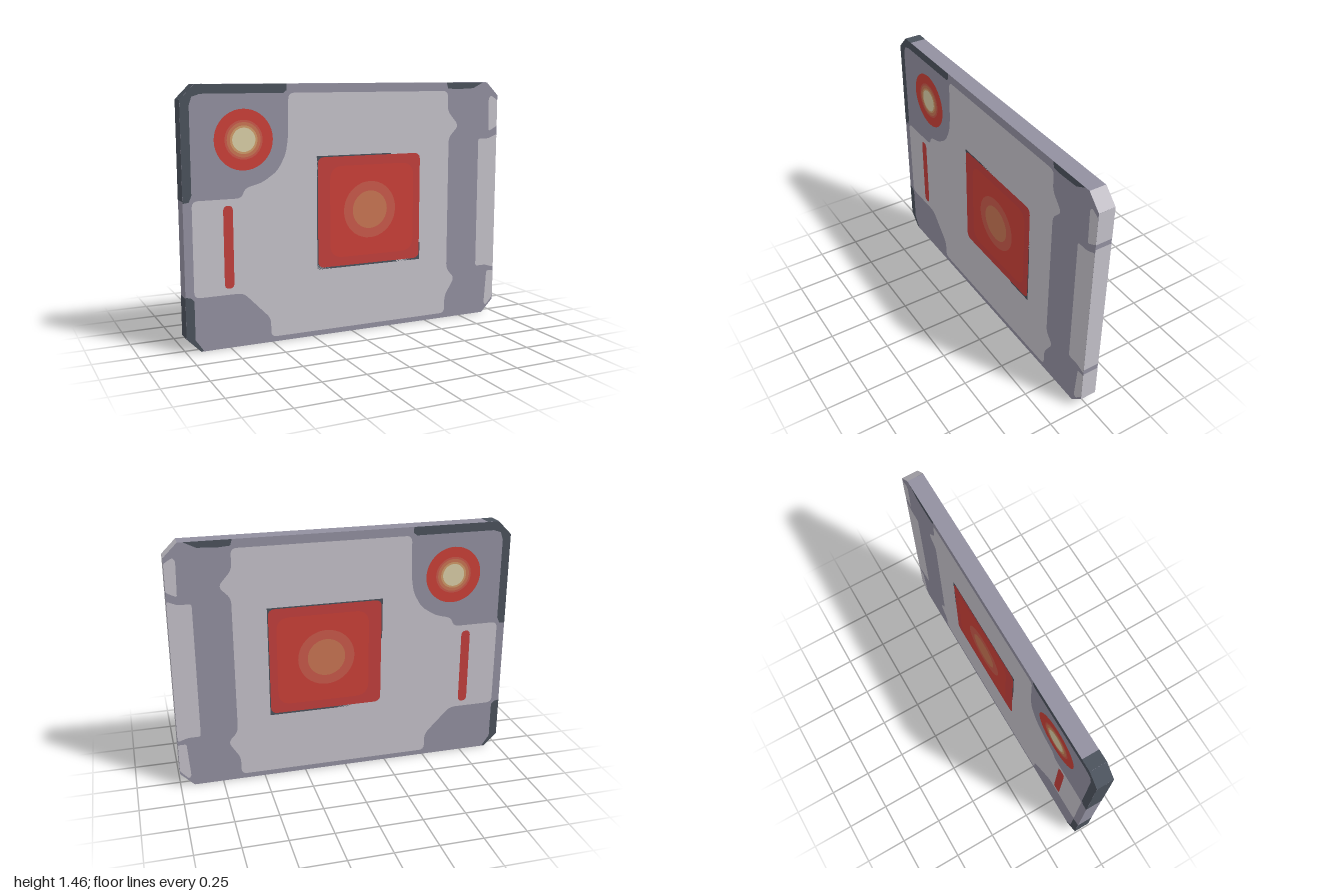
import * as THREE from 'three';

const HALF = 0.048;   // half thickness of the slab
const STEP = 0.0007;  // height of each painted layer

function material(name, color) {
  const m = new THREE.MeshStandardMaterial({ color });
  m.name = name;
  return m;
}

// Closed outline from points, each corner softened by radius r
function outline(points, r = 0) {
  const v = points.map(p => new THREE.Vector2(p[0], p[1]));
  const shape = new THREE.Shape();
  v.forEach((p, i) => {
    const a = v[(i + v.length - 1) % v.length], b = v[(i + 1) % v.length];
    const toward = q => p.clone().add(q.clone().sub(p).setLength(Math.min(r, p.distanceTo(q) * 0.45)));
    const s = toward(a), e = toward(b);
    if (i === 0) shape.moveTo(s.x, s.y); else shape.lineTo(s.x, s.y);
    if (r > 0) shape.quadraticCurveTo(p.x, p.y, e.x, e.y);
  });
  shape.closePath();
  return shape;
}

const rect = (x0, y0, x1, y1) => [[x0, y0], [x1, y0], [x1, y1], [x0, y1]];

function circle(cx, cy, r) {
  return Array.from({ length: 40 }, (_, i) => {
    const a = i / 40 * Math.PI * 2;
    return [cx + r * Math.cos(a), cy + r * Math.sin(a)];
  });
}

export function createModel() {
  const model = new THREE.Group();
  model.name = 'panel';
  const light = material('light grey', 0xc4c1c9);
  const mid = material('mid grey', 0x9290a0);
  const dark = material('dark slate', 0x4b525c);
  const deepRed = material('deep red', 0xc23f3c);
  const red = material('red', 0xca4038);
  const rust = material('rust', 0xc9594a);
  const orange = material('orange', 0xc97553);
  const tan = material('tan', 0xd09a68);
  const cream = material('cream', 0xd9cda6);

  function add(name, geometry, mat) {
    const mesh = new THREE.Mesh(geometry, mat);
    mesh.name = name;
    model.add(mesh);
  }

  // Same painted patch on the front and the back face
  function patch(name, points, mat, layer = 1, r = 0) {
    const z = HALF + layer * STEP;
    add(name + 'Front', new THREE.ShapeGeometry(outline(points, r), 6).translate(0, 0, z), mat);
    const mirrored = points.map(p => [-p[0], p[1]]);
    add(name + 'Back', new THREE.ShapeGeometry(outline(mirrored, r), 6).rotateY(Math.PI).translate(0, 0, -z), mat);
  }

  // Painted strip on the rim, from a to b counterclockwise
  function rim(name, a, b, mat) {
    const dx = b[0] - a[0], dy = b[1] - a[1], len = Math.hypot(dx, dy);
    const g = new THREE.PlaneGeometry(len, HALF * 2 + STEP * 2);
    g.rotateX(-Math.PI / 2).rotateZ(Math.atan2(-dx, dy) - Math.PI / 2);
    g.translate((a[0] + b[0]) / 2 + dy / len * STEP, (a[1] + b[1]) / 2 - dx / len * STEP, 0);
    add(name, g, mat);
  }

  // Slab with cut corners
  const W = 0.999, H = 1.46, C = 0.08;
  const body = outline([[-W + C, 0], [W - C, 0], [W, C], [W, H - C], [W - C, H], [-W + C, H], [-W, H - C], [-W, C]]);
  add('body', new THREE.ExtrudeGeometry(body, { depth: HALF * 2, bevelEnabled: false }).translate(0, 0, -HALF), mid);

  // Rim colours
  rim('rimLowerRightCorner', [W - C, 0], [W, C], light);
  rim('rimRightLow', [W, C], [W, 0.28], light);
  rim('rimRightMiddle', [W, 0.315], [W, 1.16], light);
  rim('rimRightHigh', [W, 1.19], [W, H - C], light);
  rim('rimUpperRightCorner', [W, H - C], [W - C, H], light);
  rim('rimTopDark', [-0.85, H], [-W + C, H], dark);
  rim('rimUpperLeftCorner', [-W + C, H], [-W, H - C], dark);
  rim('rimLeftHigh', [-W, H - C], [-W, 0.84], dark);
  rim('rimLeftLow', [-W, 0.31], [-W, C], dark);
  rim('rimLowerLeftCorner', [-W, C], [-W + C, 0], dark);

  // Large light field
  patch('lightField', [
    [-0.39, 1.41], [0.64, 1.41], [0.64, 1.29], [0.72, 1.2], [0.65, 1.13], [0.65, 0.31],
    [0.71, 0.25], [0.64, 0.14], [0.64, 0.03], [-0.51, 0.03], [-0.51, 0.14], [-0.67, 0.305],
    [-0.95, 0.305], [-0.95, 0.84], [-0.67, 0.84], [-0.65, 0.895], [-0.55, 0.92], [-0.46, 0.98],
    [-0.41, 1.07], [-0.395, 1.16],
  ], light, 1, 0.035);

  // Light patches along the right edge
  patch('rightStrip', [[0.865, 0.31], [0.94, 0.31], [W, 0.29], [W, 1.14], [0.94, 1.115], [0.865, 1.115]], light, 1, 0.015);
  patch('rightHighPatch', [[0.94, 1.16], [W, 1.19], [W, 1.35], [0.95, 1.38], [0.935, 1.36]], light, 1, 0.012);
  patch('rightLowPatch', [[0.935, 0.06], [0.95, 0.045], [W, 0.1], [W, 0.27], [0.95, 0.27]], light, 1, 0.012);

  // Dark worn borders
  patch('darkUpperLeft', [
    [-W, 0.83], [-0.965, 0.835], [-0.95, 0.87], [-0.95, 1.35], [-0.935, 1.395], [-0.89, 1.41],
    [-0.42, 1.41], [-0.4, 1.425], [-0.4, H], [-W + C, H], [-W, H - C],
  ], dark);
  patch('darkLowerLeft', [[-W, C], [-W + C, 0], [-0.905, 0.005], [-0.95, 0.07], [-0.95, 0.29], [-0.97, 0.31], [-W, 0.315]], dark);
  patch('darkUpperRight', [[0.63, H], [0.64, 1.425], [0.7, 1.42], [0.82, 1.425], [0.89, H]], dark);

  // Square window with a dark frame and a glowing centre
  patch('squareFrame', rect(-0.222, 0.393, 0.455, 1.052), dark);
  patch('squareRed', rect(-0.216, 0.403, 0.45, 1.045), deepRed, 2, 0.04);
  patch('squareInner', rect(-0.14, 0.455, 0.405, 0.99), red, 3, 0.08);
  patch('squareHalo', circle(0.115, 0.725, 0.168), rust, 4);
  patch('squareCore', circle(0.115, 0.725, 0.112), orange, 5);

  // Round lamp
  [[0.168, red], [0.108, rust], [0.096, orange], [0.078, tan], [0.066, cream]]
    .forEach(([r, m], i) => patch('lampRing' + (i + 1), circle(-0.652, 1.16, r), m, i + 1));

  // Narrow slot
  patch('slot', rect(-0.777, 0.34, -0.722, 0.803), deepRed, 2, 0.03);

  return model;
}
